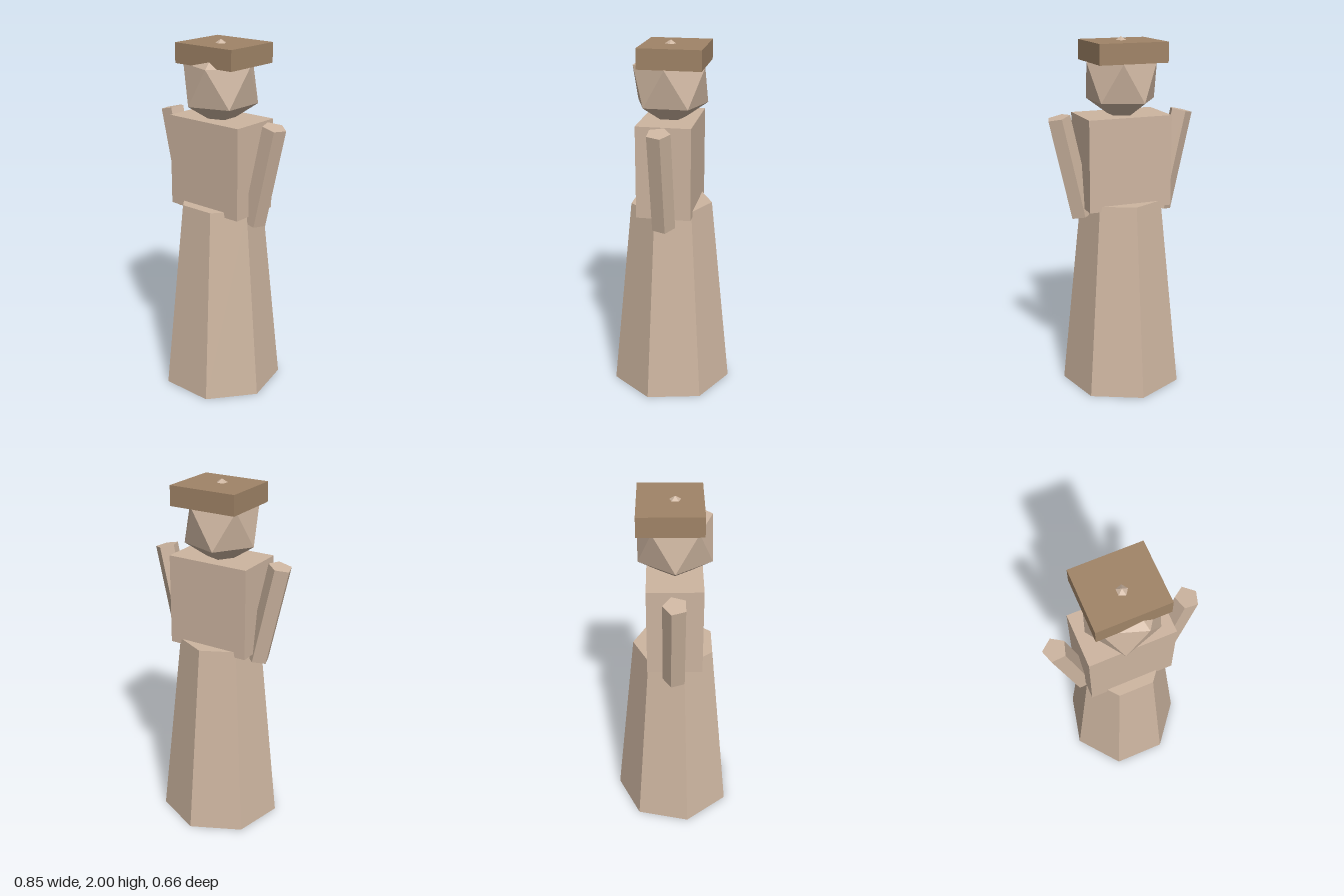
import * as THREE from 'three';

const cloth = new THREE.MeshStandardMaterial({ color: 0xcdb5a0, flatShading: true });
const felt = new THREE.MeshStandardMaterial({ color: 0xa08467, flatShading: true });
const AXIS_Z = 0.016; // shared centre line of the figure

function part(parent, name, geometry, material, x, y, z) {
  const mesh = new THREE.Mesh(geometry, material);
  mesh.name = name;
  mesh.position.set(x, y, z);
  parent.add(mesh);
  return mesh;
}

export function createModel() {
  const figure = new THREE.Group();
  figure.name = 'figure';

  // Seven-sided skirt with a corner at the back
  part(figure, 'skirt', new THREE.CylinderGeometry(0.232, 0.346, 1.1, 7, 1, false, Math.PI), cloth, 0, 0.55, AXIS_Z);

  // Boxy torso
  part(figure, 'torso', new THREE.BoxGeometry(0.48, 0.51, 0.3), cloth, 0, 1.325, AXIS_Z);

  // Five-sided arms, leaning outwards at the top
  for (const side of [1, -1]) {
    const arm = part(figure, side > 0 ? 'leftArm' : 'rightArm',
      new THREE.CylinderGeometry(0.066, 0.066, 0.571, 5, 1, false, Math.PI), cloth, side * 0.301, 1.302, AXIS_Z);
    arm.rotation.z = -side * THREE.MathUtils.degToRad(12.7);
  }

  // Icosahedron head standing on a corner; its tip pokes through the hat
  const head = new THREE.IcosahedronGeometry(1, 0);
  head.rotateZ(-Math.atan(2 / (1 + Math.sqrt(5))));
  head.scale(0.222, 0.236, 0.23);
  part(figure, 'head', head, cloth, 0, 1.764, 0.018);

  // Flat square hat
  part(figure, 'hat', new THREE.BoxGeometry(0.39, 0.11, 0.345), felt, 0, 1.925, -0.007);

  return figure;
}
